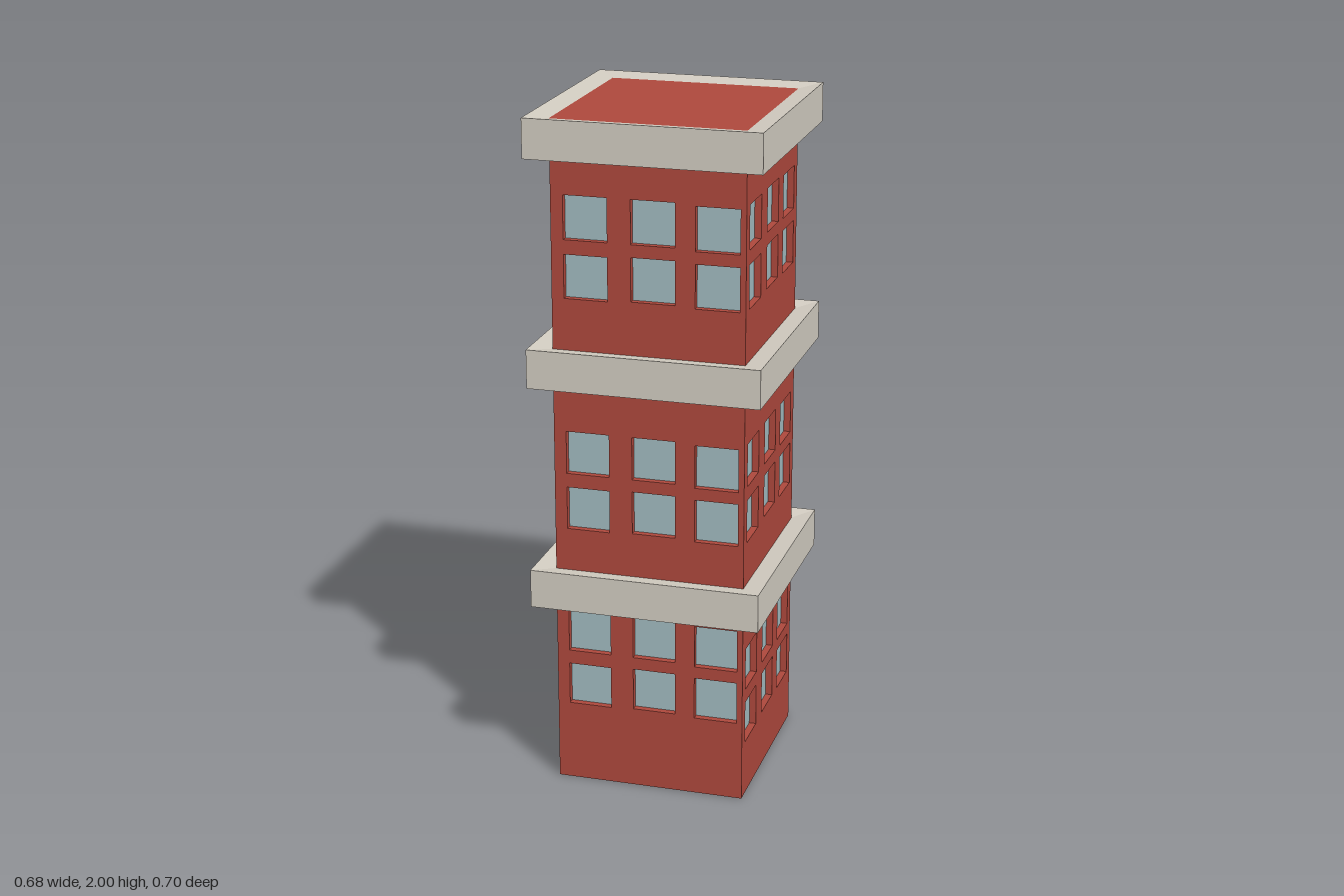
import * as THREE from 'three';

const HX = 0.28, HZ = 0.29, ROOF = 1.99, RECESS = 0.02, PANE = 0.127;
const brick = new THREE.MeshStandardMaterial({ color: 0xad483c });
const stone = new THREE.MeshStandardMaterial({ color: 0xd1cbc0 });
const glass = new THREE.MeshStandardMaterial({ color: 0xa0babf });

// Traces a rectangle into a Shape or Path
function rect(path, x0, y0, x1, y1) {
  path.moveTo(x0, y0);
  path.lineTo(x1, y0);
  path.lineTo(x1, y1);
  path.lineTo(x0, y1);
  path.closePath();
  return path;
}

function add(parent, name, geometry, material) {
  const mesh = new THREE.Mesh(geometry, material);
  mesh.name = name;
  parent.add(mesh);
  return mesh;
}

// Window centres of one side: three storeys of 2 rows x 3 columns, slightly uneven
function windowCentres(lowestRow, shift) {
  const centres = [];
  for (const base of [lowestRow, 0.857, 1.546]) {
    [-0.19, 0.005, 0.19].forEach((u, i) => {
      centres.push([u + shift, base + (i === 1 ? 0.005 : 0)]);
      centres.push([u + shift, base + 0.169 - (i === 2 ? 0.006 : 0)]);
    });
  }
  return centres;
}

// One side of the tower, facing +z: pierced wall with mitred ends and recessed panes
function makeSide(name, halfWidth, distance, angle, lowestRow, shift) {
  const side = new THREE.Group();
  side.name = name;
  const shape = rect(new THREE.Shape(), -halfWidth, 0, halfWidth, ROOF);
  const centres = windowCentres(lowestRow, shift);
  const h = PANE / 2;
  for (const [u, v] of centres) {
    shape.holes.push(rect(new THREE.Path(), u - h, v - h, u + h, v + h));
  }
  const wall = new THREE.ExtrudeGeometry(shape, { depth: RECESS, bevelEnabled: false });
  const p = wall.attributes.position;
  for (let i = 0; i < p.count; i++) {
    if (p.getZ(i) < 1e-6 && Math.abs(p.getX(i)) > halfWidth - 1e-4) {
      p.setX(i, Math.sign(p.getX(i)) * (halfWidth - RECESS));
    }
  }
  wall.computeVertexNormals();
  wall.translate(0, 0, distance - RECESS);
  add(side, 'wall', wall, brick);
  for (const [u, v] of centres) {
    add(side, 'windowPane', new THREE.PlaneGeometry(PANE, PANE), glass)
      .position.set(u, v, distance - RECESS);
  }
  side.rotation.y = angle;
  return side;
}

// Projecting stone band whose top dips slightly toward the wall
function makeBand() {
  const shape = rect(new THREE.Shape(), -0.339, -0.35, 0.339, 0.35);
  shape.holes.push(rect(new THREE.Path(), -HX, -HZ, HX, HZ));
  const height = 0.114;
  const band = new THREE.ExtrudeGeometry(shape, { depth: height, bevelEnabled: false });
  band.rotateX(-Math.PI / 2);
  const p = band.attributes.position;
  for (let i = 0; i < p.count; i++) {
    if (p.getY(i) > height / 2 && Math.abs(p.getX(i)) < HX + 0.01) {
      p.setY(i, height - 0.01);
    }
  }
  band.computeVertexNormals();
  return band;
}

export function createModel() {
  const tower = new THREE.Group();
  tower.name = 'tower';

  // Four sides; the front's lowest windows sit higher
  tower.add(
    makeSide('frontSide', HX, HZ, 0, 0.305, 0.0095),
    makeSide('leftSide', HZ, HX, Math.PI / 2, 0.23, 0),
    makeSide('backSide', HX, HZ, Math.PI, 0.23, -0.0095),
    makeSide('rightSide', HZ, HX, -Math.PI / 2, 0.23, 0)
  );

  // Roof and underside
  const roof = add(tower, 'roof', new THREE.PlaneGeometry(2 * HX, 2 * HZ), brick);
  roof.rotation.x = -Math.PI / 2;
  roof.position.y = ROOF;
  const base = add(tower, 'base', new THREE.PlaneGeometry(2 * HX, 2 * HZ), brick);
  base.rotation.x = Math.PI / 2;

  // Stone bands above each storey
  const band = makeBand();
  ['lowerBand', 'middleBand', 'cornice'].forEach((name, i) => {
    add(tower, name, band, stone).position.y = [0.562, 1.228, 1.886][i];
  });
  return tower;
}
